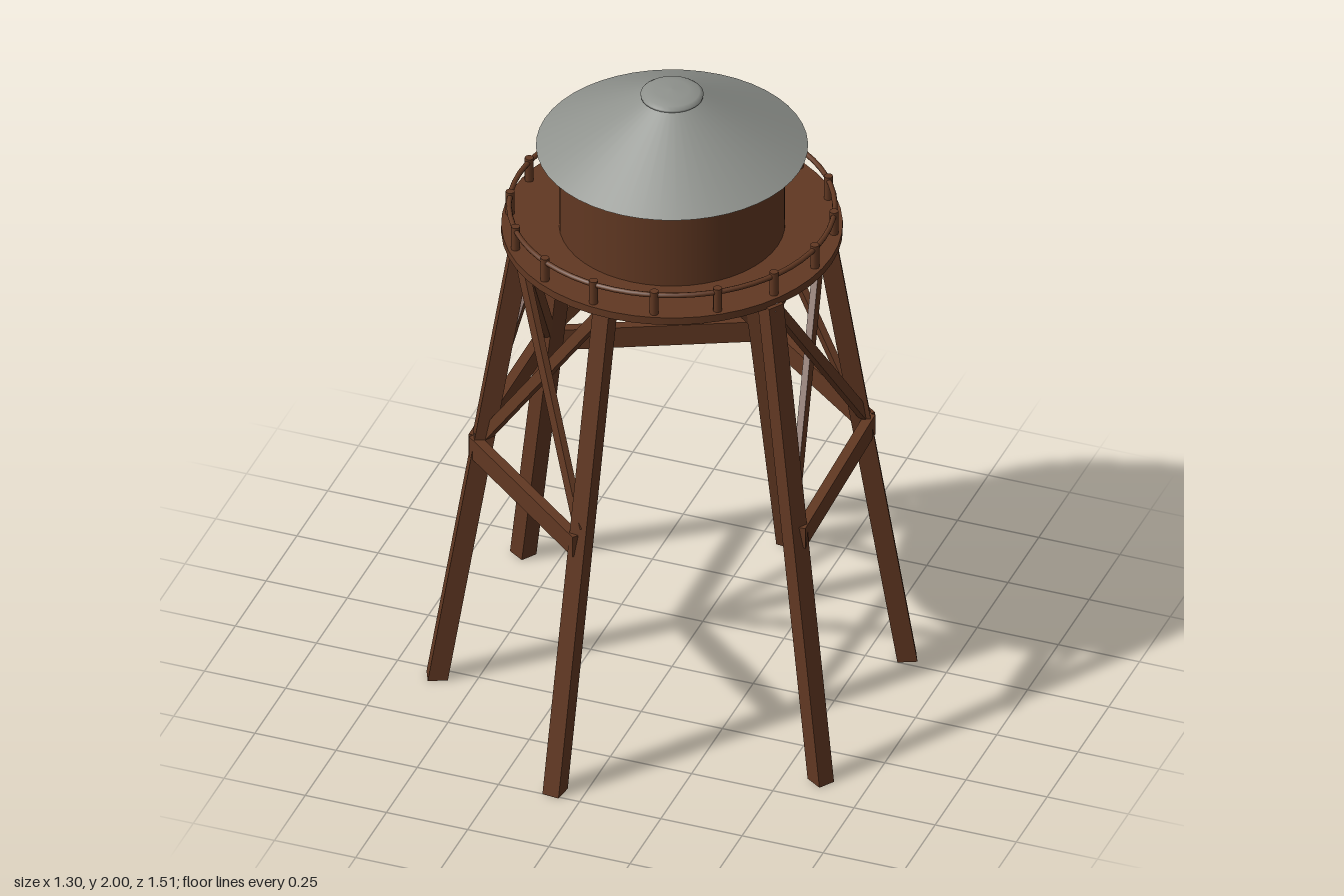
import * as THREE from 'three';

export function createModel() {
  const model = new THREE.Group();
  model.name = 'waterTower';
  const wood = new THREE.MeshStandardMaterial({ color: 0x613822 });
  wood.name = 'brown wood';
  const metal = new THREE.MeshStandardMaterial({ color: 0x8f928d });
  metal.name = 'grey metal';

  const V = (x, y, z) => new THREE.Vector3(x, y, z);
  const add = (name, geometry, material, parent = model) => {
    const mesh = new THREE.Mesh(geometry, material);
    mesh.name = name;
    parent.add(mesh);
    return mesh;
  };
  const group = (name) => {
    const g = new THREE.Group();
    g.name = name;
    model.add(g);
    return g;
  };

  // Box running from a to b; side and up span its (possibly sheared) ends
  const strut = (a, b, side, up) => {
    const m = new THREE.Matrix4().makeBasis(side, up, b.clone().sub(a));
    m.setPosition(a.clone().add(b).multiplyScalar(0.5));
    if (m.determinant() < 0) {
      m.multiply(new THREE.Matrix4().makeScale(-1, 1, 1));
    }
    return new THREE.BoxGeometry(1, 1, 1).applyMatrix4(m);
  };

  // Leg positions going round, second half mirrored through the centre
  const feet = [[0.085, -0.725], [0.615, -0.285], [0.61, 0.4]];
  const heads = [[0.033, -0.455], [0.385, -0.205], [0.4, 0.255]];
  const tieHeights = [0.805, 0.805, 0.782, 0.785, 0.803, 0.803];
  const legs = tieHeights.map((tieY, i) => {
    const s = i < 3 ? 1 : -1;
    const f = feet[i % 3], h = heads[i % 3];
    return { foot: V(s * f[0], 0, s * f[1]), head: V(s * h[0], 1.515, s * h[1]), tieY };
  });
  const onLeg = (leg, y) => leg.foot.clone().lerp(leg.head, y / 1.515);

  // Splayed legs with level cut ends
  const legGroup = group('legs');
  legs.forEach(({ foot, head }) => {
    const radial = V(foot.x, 0, foot.z).normalize();
    const across = V(-radial.z, 0, radial.x);
    add('leg', strut(foot, head, radial.multiplyScalar(0.058), across.multiplyScalar(0.052)), wood, legGroup);
  });

  // Ties and cross braces on five sides; the front left side stays open
  const ties = group('horizontalTies');
  const braces = group('crossBraces');
  legs.forEach((p, i) => {
    if (i === 2) return;
    const q = legs[(i + 1) % 6];
    const outward = (v, k) => V(v.x * k, v.y, v.z * k);
    const a = outward(onLeg(p, p.tieY), 1.045), b = outward(onLeg(q, q.tieY), 1.045);
    const normal = V(b.z - a.z, 0, a.x - b.x).normalize();
    add('tie', strut(a, b, normal.multiplyScalar(0.03), V(0, 0.068, 0)), wood, ties);

    [[p, q, 1.03], [q, p, 1.0]].forEach(([low, high, k]) => {
      const c = outward(onLeg(low, 0.83), k), d = outward(onLeg(high, 1.51), k);
      const along = d.clone().sub(c).normalize();
      const faceNormal = along.clone().cross(V(b.x - a.x, 0, b.z - a.z)).normalize();
      const width = faceNormal.clone().cross(along).normalize();
      add('brace', strut(c, d, width.multiplyScalar(0.036), faceNormal.multiplyScalar(0.02)), wood, braces);
    });
  });

  // Platform and tank
  add('platform', new THREE.CylinderGeometry(0.492, 0.492, 0.024, 48), wood).position.y = 1.522;
  add('tank', new THREE.CylinderGeometry(0.326, 0.326, 0.29, 48), wood).position.y = 1.672;

  // Railing
  const railing = group('railing');
  for (let i = 0; i < 16; i++) {
    const t = (8 + i * 22.5) * Math.PI / 180;
    add('railingPost', new THREE.CylinderGeometry(0.013, 0.013, 0.08, 10), wood, railing)
      .position.set(0.469 * Math.cos(t), 1.571, 0.469 * Math.sin(t));
  }
  const rail = add('handrail', new THREE.TorusGeometry(0.469, 0.008, 8, 64), wood, railing);
  rail.rotation.x = Math.PI / 2;
  rail.position.y = 1.597;

  // Conical roof with a domed cap
  add('roof', new THREE.CylinderGeometry(0.075, 0.392, 0.175, 48), metal).position.y = 1.8925;
  const capProfile = [[0, 1.97], [0.08, 1.97], [0.09, 1.976], [0.091, 1.983], [0.08, 1.991], [0.05, 1.997], [0, 2]];
  add('roofCap', new THREE.LatheGeometry(capProfile.map(([r, y]) => new THREE.Vector2(r, y)), 32), metal);

  return model;
}
